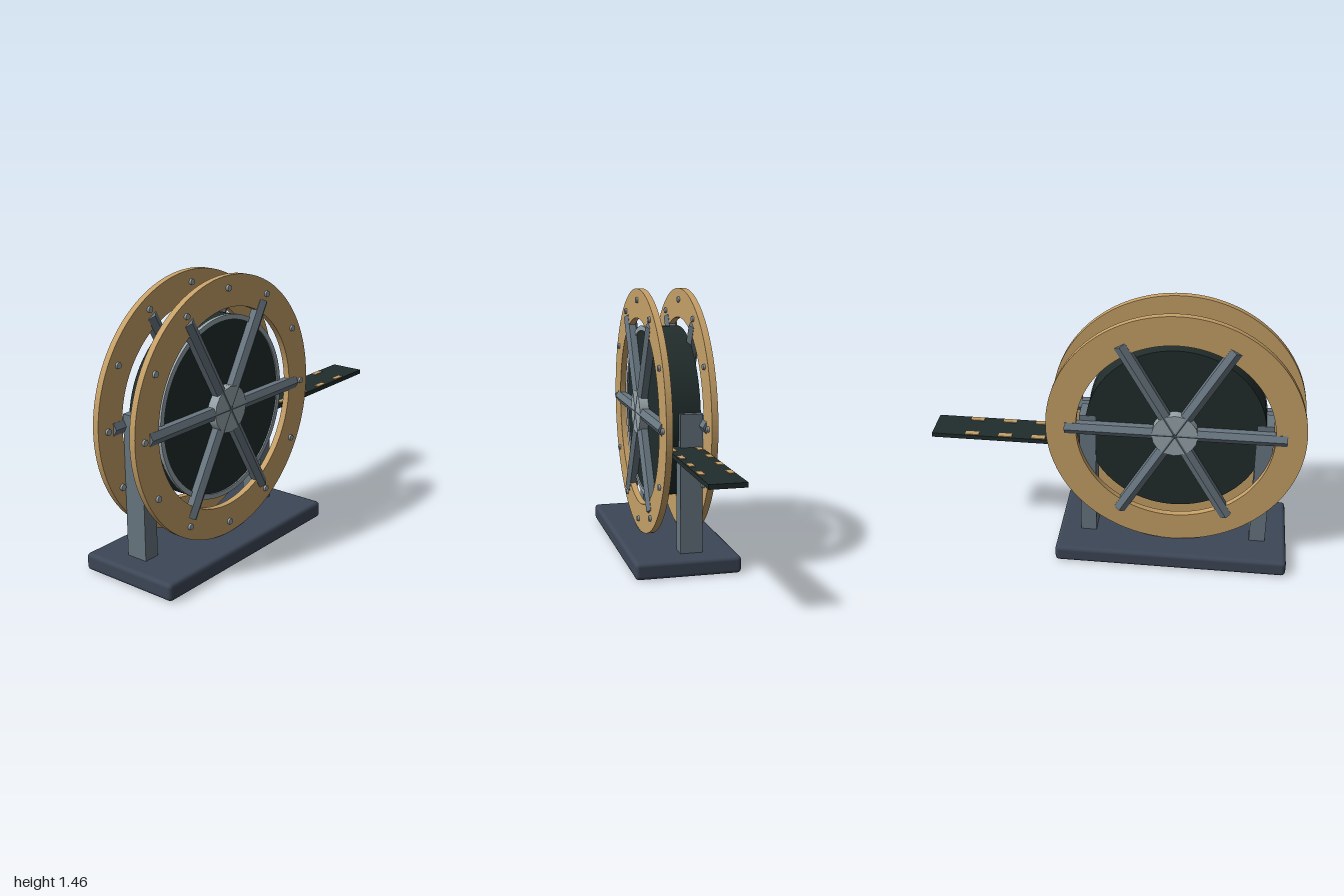
import * as THREE from 'three';
import { RoundedBoxGeometry } from 'three/addons/geometries/RoundedBoxGeometry.js';

const material = (name, color) => {
  const m = new THREE.MeshStandardMaterial({ color });
  m.name = name;
  return m;
};

export function createModel() {
  const model = new THREE.Group();
  const slate = material('slate', 0x3d4757);
  const steel = material('steel', 0x687680);
  const brightSteel = material('brightSteel', 0x98a5ab);
  const brass = material('brass', 0xc6a067);
  const film = material('film', 0x212d2c);
  const spokeSteel = steel.clone();
  spokeSteel.name = 'spokeSteel';
  spokeSteel.flatShading = true;

  const add = (parent, name, geometry, mat, x = 0, y = 0, z = 0) => {
    const mesh = new THREE.Mesh(geometry, mat);
    mesh.name = name;
    mesh.position.set(x, y, z);
    parent.add(mesh);
    return mesh;
  };
  // Cylinder lying along z
  const disc = (r, depth, sides) =>
    new THREE.CylinderGeometry(r, r, depth, sides).rotateX(Math.PI / 2);
  // Flat ring, centred on z = 0
  const ring = (outer, inner, depth) => {
    const shape = new THREE.Shape().absarc(0, 0, outer, 0, Math.PI * 2);
    shape.holes.push(new THREE.Path().absarc(0, 0, inner, 0, Math.PI * 2, true));
    return new THREE.ExtrudeGeometry(shape, { depth, bevelEnabled: false, curveSegments: 72 })
      .translate(0, 0, -depth / 2);
  };

  // Stand
  add(model, 'base', new RoundedBoxGeometry(1.26, 0.092, 0.57, 2, 0.022), slate, -0.317, 0.046, 0);
  for (const x of [-0.787, 0.148]) {
    add(model, 'post', new THREE.BoxGeometry(0.087, 0.77, 0.12), steel, x, 0.455, -0.042);
  }

  // Reel: wound drum between two spoked side rings
  const reel = new THREE.Group();
  reel.name = 'reel';
  reel.position.set(-0.317, 0.778, 0);
  model.add(reel);
  add(reel, 'drum', disc(0.475, 0.2, 72), film);
  add(reel, 'drumRim', ring(0.478, 0.452, 0.02), brightSteel, 0, 0, 0.097);

  const ringGeometry = ring(0.683, 0.522, 0.034);
  const hubGeometry = disc(0.122, 0.066, 16);
  // Hexagonal spoke with a ridge facing outward
  const spokeGeometry = new THREE.CylinderGeometry(0.037, 0.037, 1.165, 6).rotateZ(Math.PI / 2);
  const boltGeometry = disc(0.016, 0.024, 10);
  for (const side of [1, -1]) {
    const flange = new THREE.Group();
    flange.name = side > 0 ? 'frontFlange' : 'backFlange';
    flange.position.z = side * 0.118;
    reel.add(flange);
    add(flange, 'sideRing', ringGeometry, brass);
    add(flange, 'hub', hubGeometry, brightSteel);
    for (let i = 0; i < 3; i++) {
      add(flange, 'spoke', spokeGeometry, spokeSteel).rotation.z = i * Math.PI / 3;
    }
    // Bolts sit on the forward face of each ring
    for (let i = 0; i < 12; i++) {
      const a = i * Math.PI / 6;
      add(flange, 'bolt', boltGeometry, brightSteel, 0.621 * Math.cos(a), 0.621 * Math.sin(a), 0.017);
    }
  }

  // Loose strip leaving the drum, with paired edge marks
  add(model, 'strip', new THREE.BoxGeometry(0.9, 0.024, 0.186), film, 0.55, 0.652, 0);
  const mark = new THREE.BoxGeometry(0.073, 0.006, 0.03);
  for (let i = 0; i < 4; i++) {
    for (const side of [1, -1]) {
      add(model, 'stripMark', mark, brass, 0.238 + i * 0.181, 0.665, side * 0.072);
    }
  }
  return model;
}
